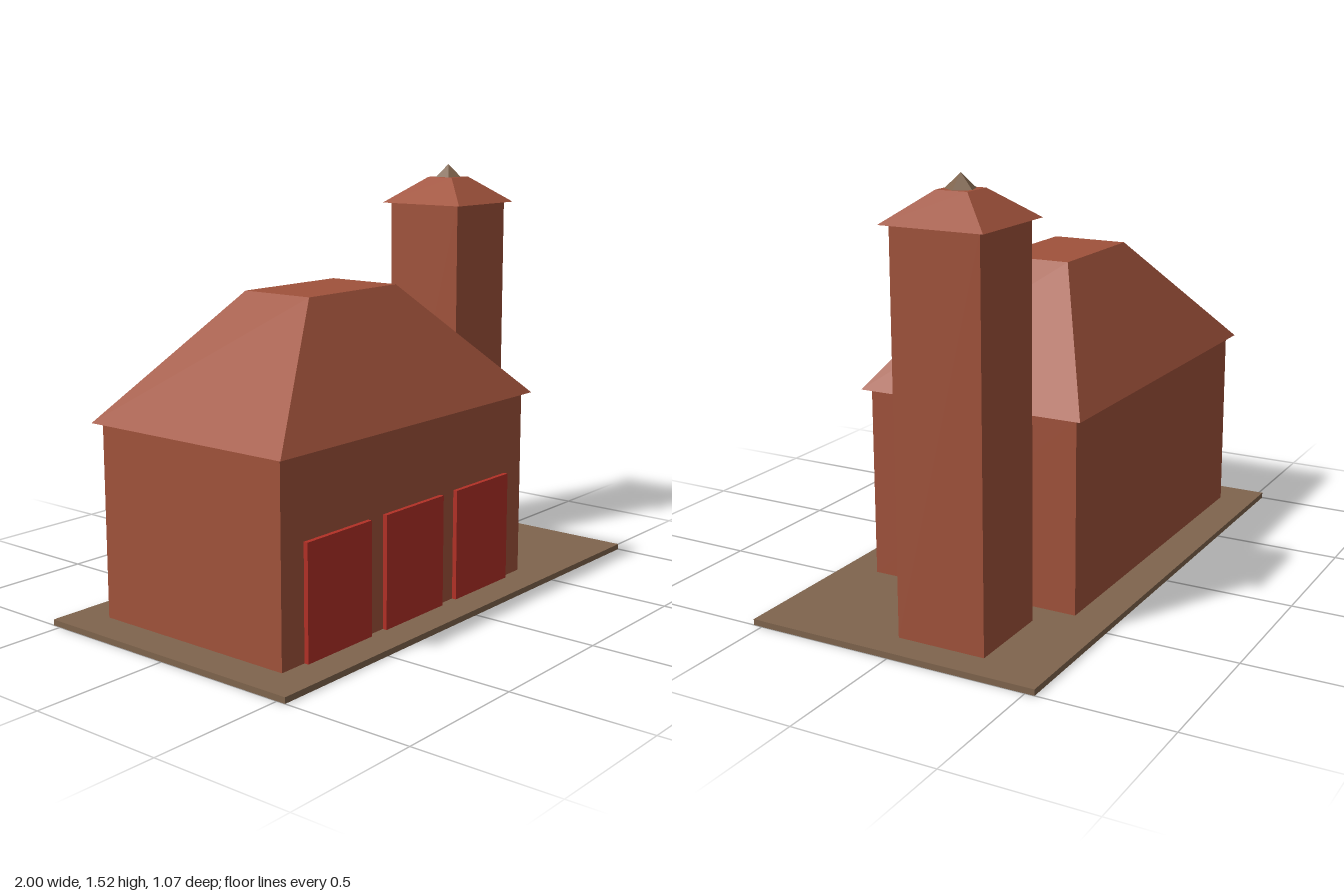
import * as THREE from 'three';

const brick = new THREE.MeshStandardMaterial({ name: 'brick red', color: 0xa0523b });
const doorRed = new THREE.MeshStandardMaterial({ name: 'door red', color: 0xb23026 });
const earth = new THREE.MeshStandardMaterial({ name: 'earth brown', color: 0x7f644d });

// Box standing on height y
function block(name, material, w, h, d, x, y, z) {
  const mesh = new THREE.Mesh(new THREE.BoxGeometry(w, h, d), material);
  mesh.name = name;
  mesh.position.set(x, y + h / 2, z);
  return mesh;
}

// Hipped roof with a flat top: a box whose upper corners are drawn inward
function hipRoof(name, w, h, d, topW, topD, x, y, z) {
  const mesh = block(name, brick, w, h, d, x, y, z);
  const p = mesh.geometry.attributes.position;
  for (let i = 0; i < p.count; i++) {
    if (p.getY(i) > 0) {
      p.setX(i, Math.sign(p.getX(i)) * topW / 2);
      p.setZ(i, Math.sign(p.getZ(i)) * topD / 2);
    }
  }
  mesh.geometry.computeVertexNormals();
  return mesh;
}

export function createModel() {
  const model = new THREE.Group();
  model.name = 'stationHouse';
  model.add(block('groundSlab', earth, 2, 0.021, 1.066, 0, 0, 0));

  // Main hall
  const hallX = -0.2;
  model.add(block('hallWalls', brick, 1.333, 0.686, 0.8, hallX, 0.021, 0));
  model.add(hipRoof('hallRoof', 1.386, 0.425, 0.853, 0.466, 0.288, hallX, 0.707, 0));

  // Three large doors on the front
  for (const i of [-1, 0, 1]) {
    model.add(block('door', doorRed, 0.32, 0.4, 0.027, hallX + i * 0.4, 0.021, 0.403));
  }

  // Tower with roof and finial
  const tx = 0.73, tz = -0.133;
  model.add(block('towerWalls', brick, 0.32, 1.353, 0.32, tx, 0.021, tz));
  model.add(hipRoof('towerRoof', 0.37, 0.1, 0.37, 0.113, 0.113, tx, 1.374, tz));
  const finial = new THREE.Mesh(new THREE.ConeGeometry(0.052, 0.05, 5).toNonIndexed(), earth);
  finial.geometry.computeVertexNormals();
  finial.name = 'finial';
  finial.rotation.y = Math.PI / 2;
  finial.position.set(tx, 1.499, tz);
  model.add(finial);

  return model;
}
